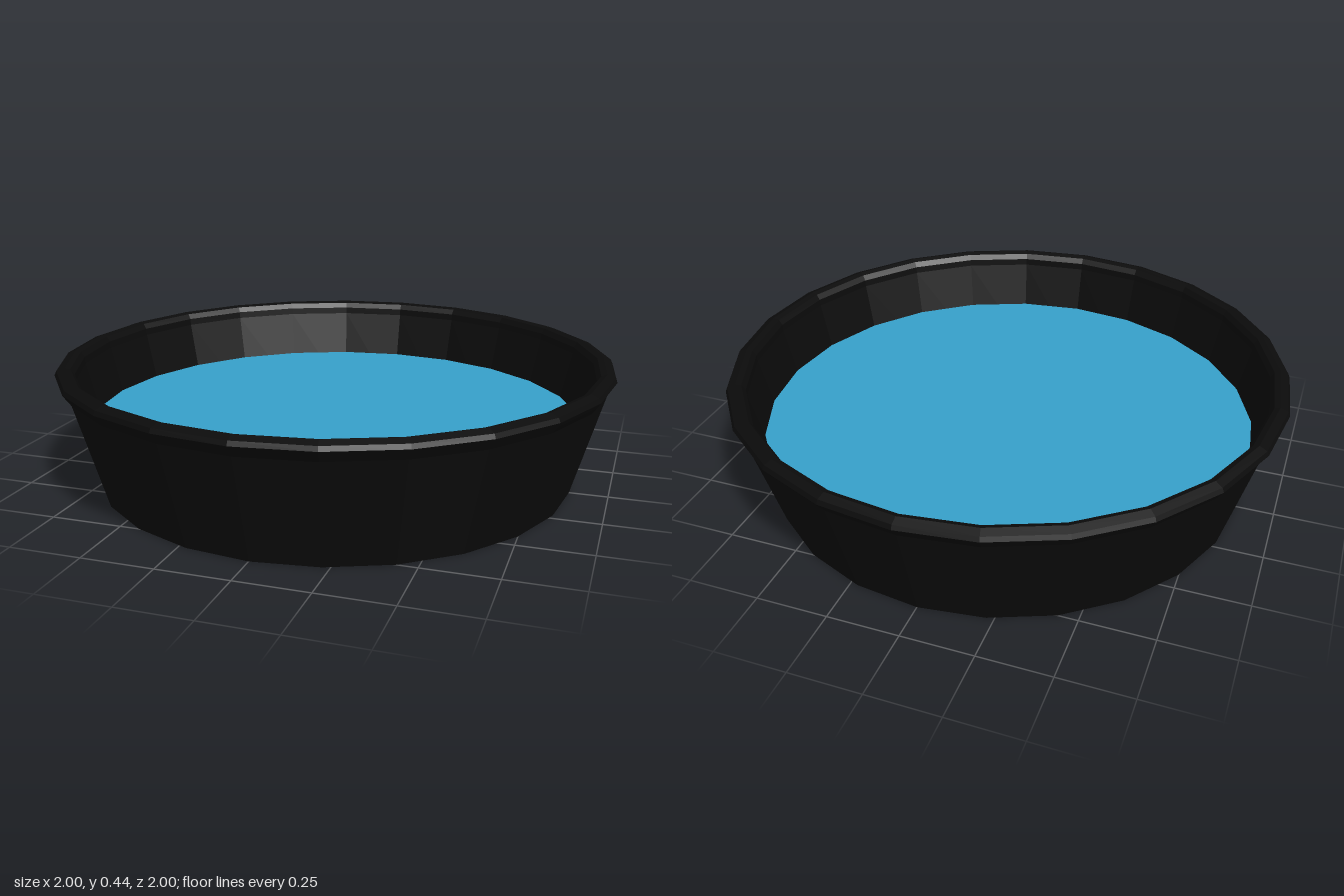
import * as THREE from 'three';

const SIDES = 24;

export function createModel() {
  const model = new THREE.Group();
  const rubber = new THREE.MeshStandardMaterial({ color: 0x0b0b0b, flatShading: true });
  const blue = new THREE.MeshStandardMaterial({ color: 0x36a0ca, flatShading: true });

  // Tub shell: base, sloping outer wall, rolled rim, inner wall, floor
  const profile = [
    [0, 0], [0.865, 0], [0.972, 0.375], [0.99, 0.4], [1, 0.415], [0.993, 0.43], [0.965, 0.44],
    [0.945, 0.434], [0.932, 0.415], [0.93, 0.39], [0.845, 0.04], [0, 0.04],
  ].map(([r, y]) => new THREE.Vector2(r, y));
  const tub = new THREE.Mesh(new THREE.LatheGeometry(profile, SIDES), rubber);
  tub.name = 'tub';
  model.add(tub);

  // Flat water surface, reaching the inner wall
  const water = new THREE.Mesh(new THREE.CircleGeometry(0.892, SIDES), blue);
  water.name = 'water';
  water.rotation.x = -Math.PI / 2;
  water.position.y = 0.22;
  model.add(water);

  return model;
}
